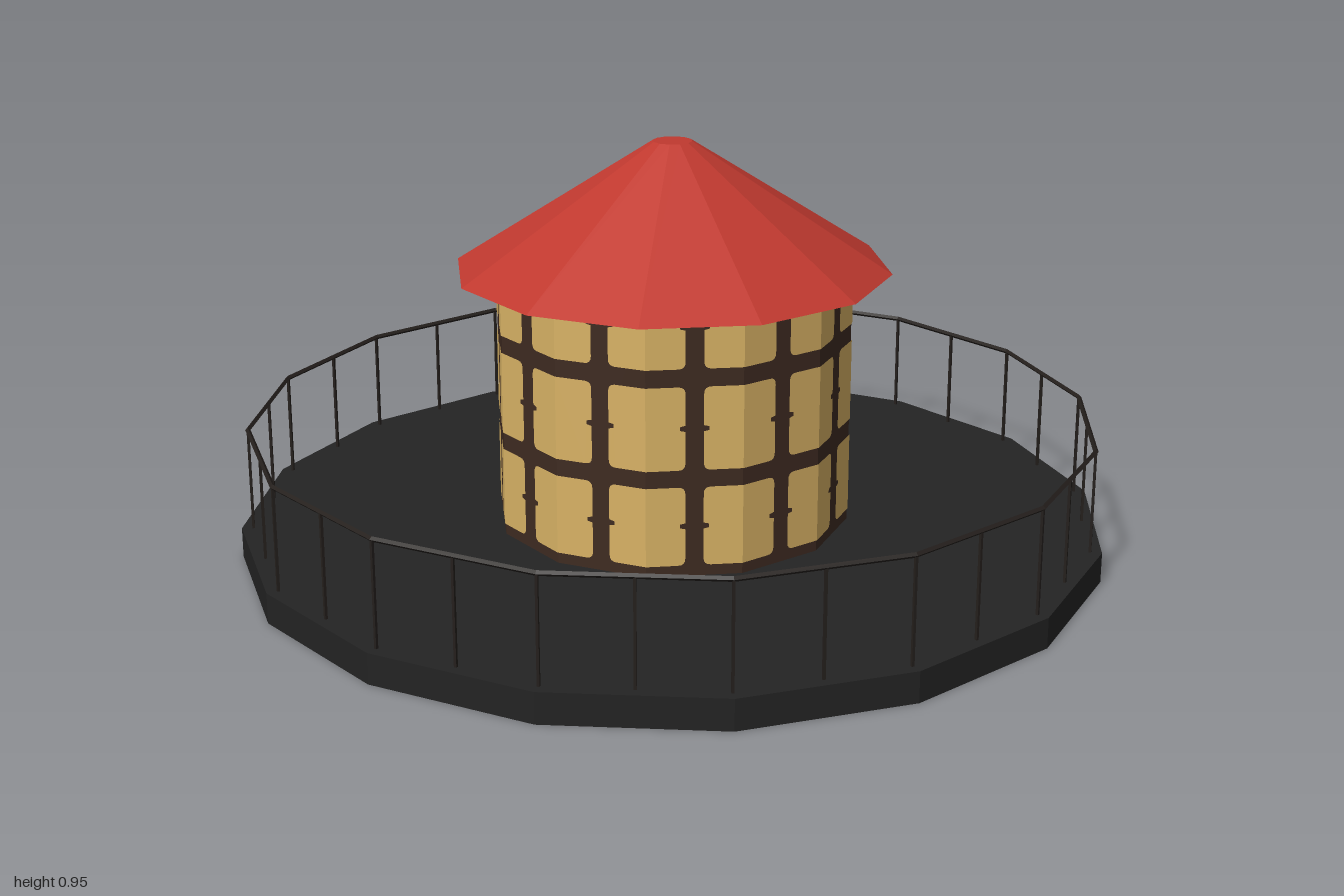
import * as THREE from 'three';
import { mergeGeometries } from 'three/addons/utils/BufferGeometryUtils.js';

export function createModel() {
  const model = new THREE.Group();
  const mat = (name, color) => {
    const m = new THREE.MeshStandardMaterial({ color, flatShading: true });
    m.name = name;
    return m;
  };
  const stone = mat('dark stone', 0x232323);
  const iron = mat('dark iron', 0x241f1c);
  const timber = mat('brown timber', 0x3e2b21);
  const plaster = mat('yellow plaster', 0xd8b265);
  const red = mat('roof red', 0xc0392f);

  const add = (name, geometry, material, y = 0) => {
    const mesh = new THREE.Mesh(geometry, material);
    mesh.name = name;
    mesh.position.y = y;
    model.add(mesh);
    return mesh;
  };

  // Sixteen-sided base
  add('platform', new THREE.CylinderGeometry(1, 1, 0.07, 16), stone, 0.035);

  // Twelve-sided tower; the bare core reads as the timber frame
  const R = 0.41, SIDES = 12, half = Math.PI / SIDES;
  add('timberFrame', new THREE.CylinderGeometry(R, R, 0.595, SIDES), timber, 0.3675);

  // Half a plaster panel, from the post (inner edge) to the tower's corner,
  // with rounded corners and a small peg notch in the post side
  const plate = R * Math.cos(half) + 0.002;
  const outer = plate * Math.tan(half);
  function halfPanel(side, y0, y1, pegY, roundTop) {
    const inner = 0.02, r = 0.016, peg = 0.007;
    const s = new THREE.Shape();
    s.moveTo(side * outer, y0);
    s.lineTo(side * (inner + r), y0);
    s.quadraticCurveTo(side * inner, y0, side * inner, y0 + r);
    s.lineTo(side * inner, pegY - peg);
    s.lineTo(side * (inner + 0.012), pegY - peg * 0.6);
    s.lineTo(side * (inner + 0.012), pegY + peg * 0.6);
    s.lineTo(side * inner, pegY + peg);
    if (roundTop) {
      s.lineTo(side * inner, y1 - r);
      s.quadraticCurveTo(side * inner, y1, side * (inner + r), y1);
    } else {
      s.lineTo(side * inner, y1);
    }
    s.lineTo(side * outer, y1);
    s.closePath();
    return new THREE.ShapeGeometry(s, 4);
  }

  const rows = [
    [0.095, 0.277, 0.187, true],
    [0.316, 0.505, 0.411, true],
    [0.545, 0.662, 0.638, false],
  ];
  const panels = [];
  for (let i = 0; i < SIDES; i++) {
    for (const row of rows) {
      for (const side of [-1, 1]) {
        panels.push(halfPanel(side, ...row).translate(0, 0, plate).rotateY((2 * i + 1) * half));
      }
    }
  }
  add('plasterPanels', mergeGeometries(panels), plaster);

  // Blunt twelve-sided roof
  add('roof', new THREE.CylinderGeometry(0.045, 0.5, 0.292, SIDES), red, 0.809);

  // Railing: sixteen-sided handrail on thirty-two thin posts
  const railR = 0.973;
  add('handrail', new THREE.TorusGeometry(railR, 0.006, 4, 16).rotateX(Math.PI / 2), iron, 0.309);
  const posts = [];
  for (let i = 0; i < 32; i++) {
    const a = (i / 32) * Math.PI * 2;
    // posts between corners sit on the straight rail
    const r = i % 2 ? railR * Math.cos(Math.PI / 16) : railR;
    posts.push(new THREE.BoxGeometry(0.006, 0.24, 0.006).translate(0, 0.189, r).rotateY(a));
  }
  add('railingPosts', mergeGeometries(posts), iron);

  return model;
}
